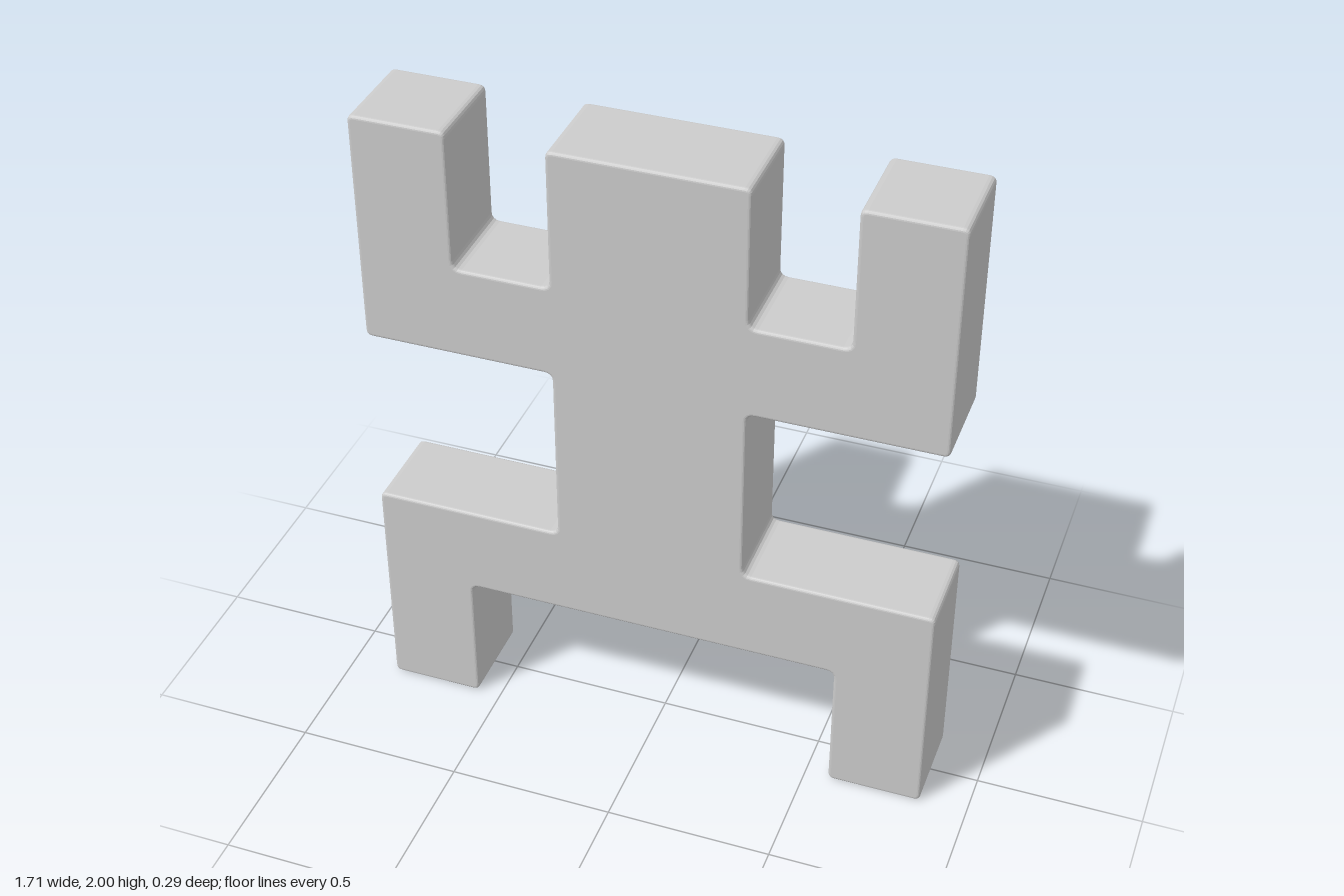
import * as THREE from 'three';

const U = 2 / 7;            // width of one limb
const DEPTH = U;            // front to back
const BEVEL = 0.01;         // rounding of the front and back edges
const OUTER = 0.02;         // rounding of convex corners, kept wider than the bevel
const INNER = 0.025;        // rounding of concave corners

// Closed outline whose corners are rounded, tighter on convex than on concave ones
function roundedOutline(points) {
  const shape = new THREE.Shape();
  const n = points.length;
  points.forEach((p, i) => {
    const into = p.clone().sub(points[(i + n - 1) % n]).normalize();
    const out = points[(i + 1) % n].clone().sub(p).normalize();
    const r = into.cross(out) > 0 ? OUTER : INNER;
    const a = p.clone().addScaledVector(into, -r);
    const b = p.clone().addScaledVector(out, r);
    if (i === 0) shape.moveTo(a.x, a.y);
    else shape.lineTo(a.x, a.y);
    shape.quadraticCurveTo(p.x, p.y, b.x, b.y);
  });
  shape.closePath();
  return shape;
}

export function createModel() {
  const group = new THREE.Group();
  group.name = 'blockFigure';

  // Left half of the outline, in limb widths, from crotch up to head
  const half = [
    [2, 1.5], [2, 0], [3, 0], [3, 2.5],      // leg and hip
    [1, 2.5], [1, 4.5],                      // waist
    [3, 4.5], [3, 7], [2, 7], [2, 5.5],      // raised arm
    [1, 5.5], [1, 7],                        // head
  ].map(([x, y]) => new THREE.Vector2(x * U, y * U));
  const mirrored = half.map((p) => new THREE.Vector2(-p.x, p.y)).reverse();

  // Figure cut from one slab with softened edges
  const geometry = new THREE.ExtrudeGeometry(roundedOutline([...half, ...mirrored]), {
    depth: DEPTH - 2 * BEVEL,
    bevelEnabled: true,
    bevelThickness: BEVEL,
    bevelSize: BEVEL,
    bevelOffset: -BEVEL,
    bevelSegments: 4,
    curveSegments: 4,
  });
  geometry.translate(0, 0, BEVEL - DEPTH / 2);

  const figure = new THREE.Mesh(geometry, new THREE.MeshStandardMaterial({ color: 0xcccccc }));
  figure.name = 'figureBody';
  group.add(figure);
  return group;
}
